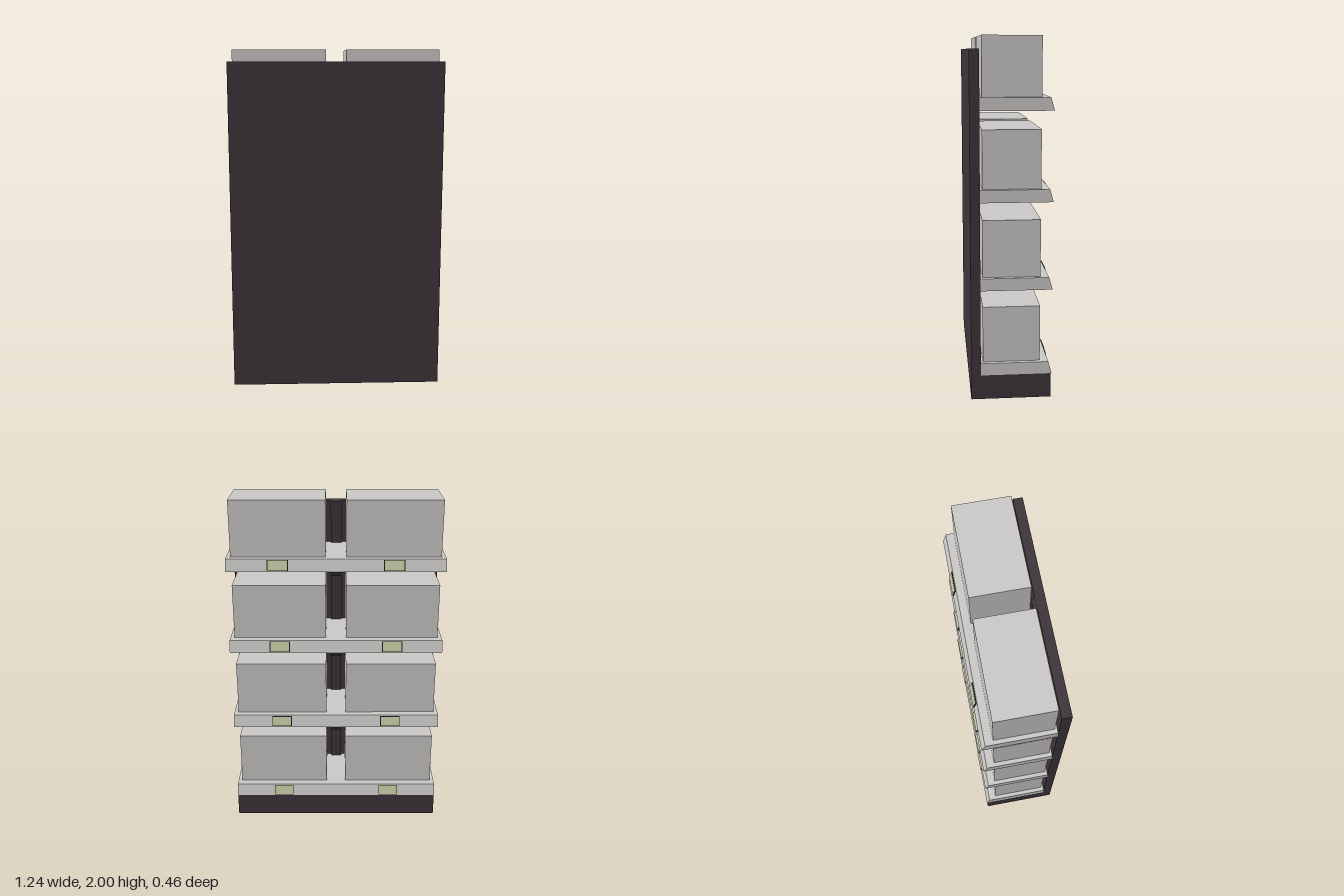
import * as THREE from 'three';

const shelfGrey = new THREE.MeshStandardMaterial({ color: 0xcac9c7 });
shelfGrey.name = 'light grey';
const frameDark = new THREE.MeshStandardMaterial({ color: 0x3d353b });
frameDark.name = 'dark frame';
const tagYellow = new THREE.MeshStandardMaterial({ color: 0xc2c6a0 });
tagYellow.name = 'pale yellow';
const tagBlack = new THREE.MeshStandardMaterial({ color: 0x1c1a1a });
tagBlack.name = 'tag border';

// Box given by its minimum and maximum corners
function block(name, material, [x0, y0, z0], [x1, y1, z1]) {
  const mesh = new THREE.Mesh(new THREE.BoxGeometry(x1 - x0, y1 - y0, z1 - z0), material);
  mesh.position.set((x0 + x1) / 2, (y0 + y1) / 2, (z0 + z1) / 2);
  mesh.name = name;
  return mesh;
}

// Side profile of [z, y] points, extruded across the width
function profile(name, material, points, halfWidth) {
  const shape = new THREE.Shape(points.map(([z, y]) => new THREE.Vector2(-z, y)));
  const geometry = new THREE.ExtrudeGeometry(shape, { depth: halfWidth * 2, bevelEnabled: false });
  geometry.translate(0, 0, -halfWidth).rotateY(Math.PI / 2);
  const mesh = new THREE.Mesh(geometry, material);
  mesh.name = name;
  return mesh;
}

// Price tag: yellow plate on a thin dark backing
function priceTag() {
  const tag = new THREE.Group();
  tag.name = 'priceTag';
  tag.add(block('tagBorder', tagBlack, [-0.059, -0.031, -0.004], [0.059, 0.031, 0.001]));
  tag.add(block('tagFace', tagYellow, [-0.055, -0.027, -0.006], [0.055, 0.027, -0.003]));
  return tag;
}

export function createModel() {
  const model = new THREE.Group();
  model.name = 'shelvingUnit';
  const W = 0.621;

  // Back panel, central post and plinth
  model.add(block('backPanel', frameDark, [-W, 0, 0.173], [W, 1.93, 0.227]));
  model.add(block('centralPost', frameDark, [-0.033, 0.14, 0.153], [0.031, 1.928, 0.175]));
  model.add(block('plinth', frameDark, [-W, 0, -0.22], [W, 0.14, 0.175]));

  const lipTilt = Math.atan2(0.02, 0.07);
  for (let i = 0; i < 4; i++) {
    const level = new THREE.Group();
    level.name = 'shelfLevel' + (i + 1);
    level.position.y = 0.21 + i * 0.49; // top surface of the shelf

    // Shelf with a sloping lip
    level.add(profile('shelf', shelfGrey,
      [[0.175, 0], [0.175, -0.07], [-0.225, -0.07], [-0.205, 0]], W));

    // Supporting arm under the raised shelves
    if (i > 0) {
      level.add(profile('supportArm', frameDark,
        [[0.175, -0.07], [0.175, -0.1], [-0.205, -0.1], [-0.222, -0.07]], 0.032));
    }

    // Storage boxes and price tags, one pair per level
    for (const side of [-1, 1]) {
      const box = block('storageBox', shelfGrey, [-0.269, 0, -0.16], [0.269, 0.32, 0.16]);
      box.position.x = side * 0.328;
      level.add(box);

      const tag = priceTag();
      tag.position.set(side * 0.328, -0.035, -0.215);
      tag.rotation.x = lipTilt;
      level.add(tag);
    }
    model.add(level);
  }
  return model;
}
